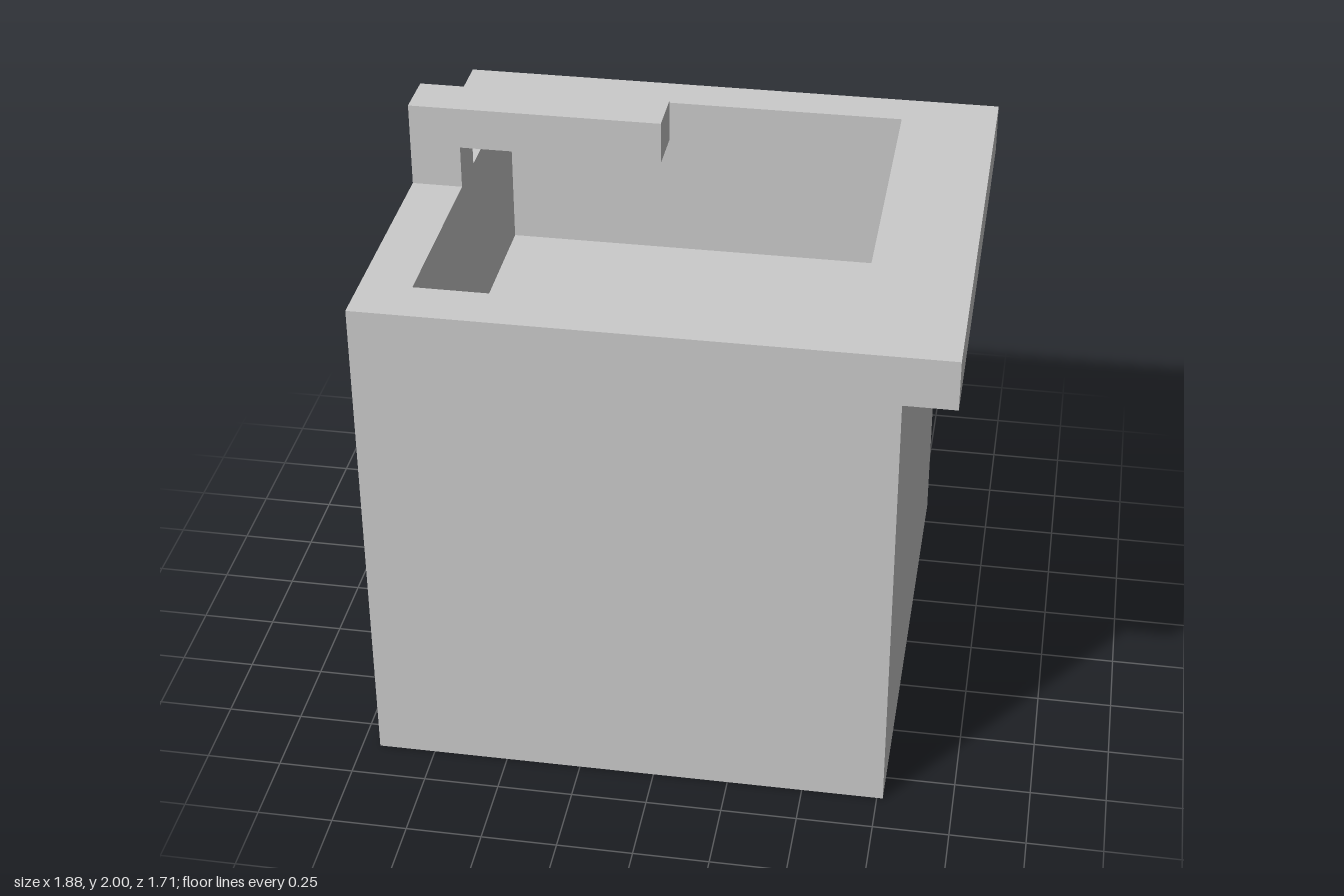
import * as THREE from 'three';

const material = new THREE.MeshStandardMaterial({ color: 0xcccccc, flatShading: true });

// Horizontal rectangle, counter-clockwise seen from above
const ring = (y, x0, x1, z0, z1) => [[x0, y, z1], [x1, y, z1], [x1, y, z0], [x0, y, z0]];

// Joins successive rectangles with flat sides and caps both ends
function loftRings(rings) {
  const positions = [];
  const triangle = new THREE.Triangle();
  const quad = (a, b, c, d) => {
    for (const corners of [[a, b, c], [a, c, d]]) {
      triangle.set(...corners.map((p) => new THREE.Vector3(...p)));
      if (triangle.getArea() > 1e-6) positions.push(...corners.flat());
    }
  };
  for (let r = 0; r < rings.length - 1; r++) {
    for (let i = 0; i < 4; i++) {
      const j = (i + 1) % 4;
      quad(rings[r][i], rings[r][j], rings[r + 1][j], rings[r + 1][i]);
    }
  }
  quad(...[...rings[0]].reverse());
  quad(...rings[rings.length - 1]);
  const geometry = new THREE.BufferGeometry();
  geometry.setAttribute('position', new THREE.Float32BufferAttribute(positions, 3));
  geometry.computeVertexNormals();
  return geometry;
}

export function createModel() {
  const group = new THREE.Group();
  group.name = 'sinkUnit';
  const add = (name, geometry) => {
    const mesh = new THREE.Mesh(geometry, material);
    mesh.name = name;
    group.add(mesh);
    return mesh;
  };

  // Cabinet, overhanging countertop and sunken basin as one solid
  const body = [-0.94, 0.77, -0.857, 0.857];
  const top = [-0.94, 0.94, -0.857, 0.857];
  const basin = [-0.773, 0.615, -0.705, 0.685];
  add('cabinetWithBasin', loftRings([
    ring(0, ...body),
    ring(1.545, ...body),
    ring(1.545, ...top),
    ring(1.715, ...top),
    ring(1.715, ...basin),
    ring(1.135, ...basin),
  ]));

  // Faucet: square post with an arm reaching over the basin
  const profile = new THREE.Shape([
    [-0.94, 1.715], [-0.773, 1.715], [-0.773, 1.86],
    [-0.105, 1.86], [-0.105, 2], [-0.94, 2],
  ].map(([x, y]) => new THREE.Vector2(x, y)));
  const faucet = new THREE.ExtrudeGeometry(profile, { depth: 0.165, bevelEnabled: false });
  add('faucet', faucet).position.z = -0.147;

  return group;
}
